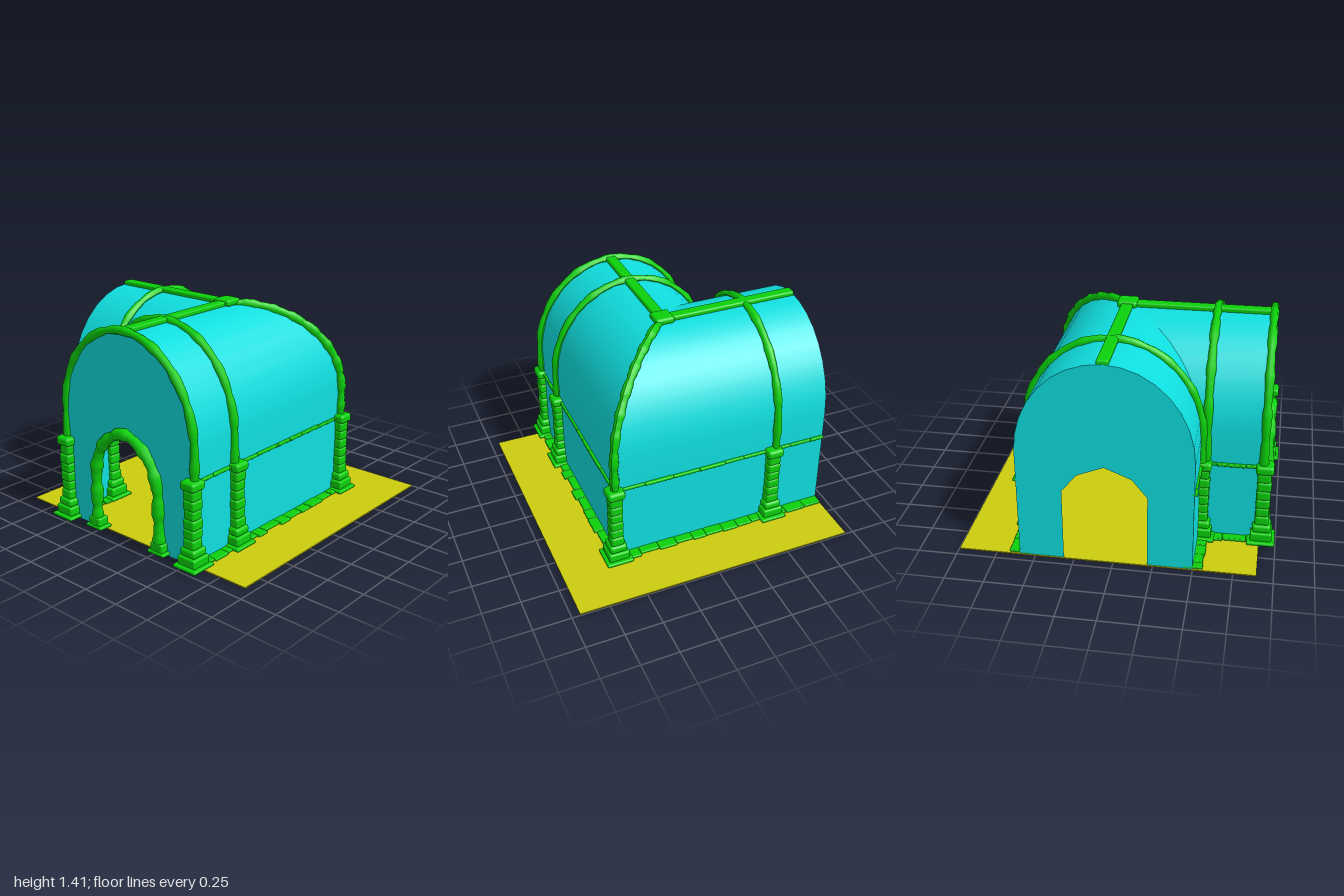
import * as THREE from 'three';
import { RoundedBoxGeometry } from 'three/addons/geometries/RoundedBoxGeometry.js';

const HALF = 0.55, SPRING = 0.75, RISE = 0.62, RAIL = 0.55;
const WEST = -0.9, NORTH = -0.94, CX = 0.05; // arm ends and axis of the north arm

export function createModel() {
  const root = new THREE.Group();
  const mat = (color) => new THREE.MeshStandardMaterial({ color, side: THREE.DoubleSide });
  const stone = mat(0x0bd00b), plaster = mat(0x10dede), ground = mat(0xcccc0f);

  let seed = 7;
  const rand = (a, b) => {
    seed = (seed * 16807) % 2147483647;
    return a + (b - a) * seed / 2147483647;
  };
  const add = (name, geometry, material, parent = root) => {
    const m = new THREE.Mesh(geometry, material);
    m.name = name;
    parent.add(m);
    return m;
  };
  const group = (name) => {
    const g = new THREE.Group();
    g.name = name;
    root.add(g);
    return g;
  };
  const block = (name, w, h, d, x, y, z, parent, r = 0.012) => {
    const m = add(name, new RoundedBoxGeometry(w, h, d, 2, Math.min(r, h * 0.4, w * 0.4, d * 0.4)), stone, parent);
    m.position.set(x, y, z);
    return m;
  };

  // Vault section as [offset, height], from one side to the other
  const arc = [];
  for (let i = 0; i <= 16; i++) {
    const a = Math.PI * (1 - i / 16);
    arc.push([HALF * Math.cos(a), SPRING + RISE * Math.sin(a)]);
  }
  const section = [[-HALF, 0], [-HALF, RAIL], ...arc, [HALF, RAIL], [HALF, 0]];

  // Barrel-vaulted arm, mitred at 45 degrees where the two arms meet
  function arm(name, place, end) {
    const pos = [], index = [];
    section.forEach(([u, y], i) => {
      pos.push(...place(end, y, u), ...place(u, y, u));
      const k = 2 * i;
      if (i) index.push(k - 2, k - 1, k, k - 1, k + 1, k);
    });
    const g = new THREE.BufferGeometry();
    g.setAttribute('position', new THREE.Float32BufferAttribute(pos, 3));
    const reversed = name === 'northVault';
    if (!reversed) for (let i = 0; i < index.length; i += 3) [index[i + 1], index[i + 2]] = [index[i + 2], index[i + 1]];
    g.setIndex(index);
    g.computeVertexNormals();
    // make sure normals point away from the arm's axis
    const p = place(0, 0.7, 0), n = g.attributes.normal, q = g.attributes.position;
    const alongX = name === 'westVault';
    const out = (alongX ? 0 : q.getX(0) - p[0]) * n.getX(0) + (alongX ? q.getZ(0) - p[2] : 0) * n.getZ(0);
    if (out < 0) {
      for (let i = 0; i < index.length; i += 3) [index[i + 1], index[i + 2]] = [index[i + 2], index[i + 1]];
      g.setIndex(index);
      g.computeVertexNormals();
    }
    add(name, g, plaster);
  }
  arm('westVault', (t, y, u) => [t === WEST ? t : CX + t, y, u], WEST);
  arm('northVault', (t, y, u) => [CX + u, y, t], NORTH);

  // End walls with a pointed doorway
  const door = [[0.265, 0], [0.265, 0.5], [0.17, 0.62], [0, 0.69], [-0.17, 0.62], [-0.265, 0.5], [-0.265, 0]];
  const endShape = new THREE.Shape([...section, ...door].map(([x, y]) => new THREE.Vector2(x, y)));
  const westWall = add('westEndWall', new THREE.ShapeGeometry(endShape), plaster);
  westWall.rotation.y = -Math.PI / 2;
  westWall.position.x = WEST;
  const northWall = add('northEndWall', new THREE.ShapeGeometry(endShape), plaster);
  northWall.rotation.y = Math.PI;
  northWall.position.set(CX, 0, NORTH);

  // Floor
  const floor = add('floor', new THREE.BoxGeometry(1.89, 0.008, 1.89), ground);
  floor.position.set(CX, 0.004, 0);

  // Uneven stone rib swept along points
  function rib(name, pts, radius, parent, wobble = 0.13) {
    const curve = new THREE.CatmullRomCurve3(pts.map((p) => new THREE.Vector3(...p)), false, 'centripetal');
    const n = 60, g = new THREE.TubeGeometry(curve, n, radius, 8), p = g.attributes.position;
    const phase = rand(0, 6), v = new THREE.Vector3();
    for (let i = 0; i <= n; i++) {
      const c = curve.getPointAt(i / n);
      const s = 1 + wobble * (Math.sin(i * 0.9 + phase) + 0.6 * Math.sin(i * 2.1 + phase * 2));
      for (let j = 0; j <= 8; j++) {
        const k = i * 9 + j;
        v.fromBufferAttribute(p, k).sub(c).multiplyScalar(s).add(c);
        p.setXYZ(k, v.x, v.y, v.z);
      }
    }
    g.computeVertexNormals();
    add(name, g, stone, parent);
  }
  const ribs = group('vaultRibs');
  const archLine = [[-HALF, RAIL], ...arc, [HALF, RAIL]].map(([u, y]) => [u * 1.015, y + 0.005]);
  for (const x of [WEST + 0.005, -0.535]) rib('westRib', archLine.map(([u, y]) => [x, y, u]), 0.027, ribs);
  rib('northRib', archLine.map(([u, y]) => [CX + u, y, -0.58]), 0.027, ribs);
  rib('hipRib', archLine.slice(9).map(([u, y]) => [CX + u, y, u]), 0.03, ribs);

  // Ridge beams and the boss where they meet
  const ridge = group('ridge');
  block('westRidge', CX - WEST, 0.035, 0.075, (WEST + CX) / 2, 1.378, 0, ridge);
  block('northRidge', 0.075, 0.035, -NORTH, CX, 1.378, NORTH / 2, ridge);
  block('ridgeBoss', 0.13, 0.045, 0.13, CX, 1.385, 0, ridge, 0.02);

  // Columns: plate, stepped plinth, stacked shaft stones and capital
  function column(x, z) {
    const g = group('column');
    g.position.set(x, 0, z);
    block('plate', 0.18, 0.022, 0.18, 0, 0.02, 0, g);
    block('plinth', 0.14, 0.06, 0.14, 0, 0.06, 0, g);
    block('plinthTop', 0.12, 0.055, 0.12, 0, 0.115, 0, g, 0.02);
    for (let i = 0; i < 6; i++) {
      const w = rand(0.082, 0.094);
      block('shaftStone', w, 0.07, w, rand(-0.003, 0.003), 0.17 + i * 0.063, 0, g, 0.018);
    }
    block('capital', 0.115, 0.06, 0.115, 0, 0.545, 0, g, 0.02);
  }
  [[-0.905, -0.55], [-0.905, 0.55], [-0.515, 0.56], [-0.515, -0.56], [0.61, 0.56], [0.61, -0.56]]
    .forEach(([x, z]) => column(x, z));

  // Rails and ground stones along the side walls
  const rails = group('wallRails'), footing = group('footingStones');
  const E = CX + HALF, I = CX - HALF;
  const runs = [
    [WEST, HALF, E, HALF], [E, HALF, E, NORTH],
    [WEST, -HALF, I, -HALF], [I, -HALF, I, NORTH],
  ];
  for (const [x0, z0, x1, z1] of runs) {
    const len = Math.hypot(x1 - x0, z1 - z0), alongX = z0 === z1;
    const lay = (name, step, wide, high, y, parent) => {
      for (let d = 0; d < len - 0.02;) {
        const l = Math.min(rand(step * 0.7, step * 1.3), len - d), t = (d + l / 2) / len;
        const w = wide * rand(0.8, 1.15);
        block(name, alongX ? l : w, high, alongX ? w : l,
          x0 + (x1 - x0) * t, y + rand(-0.002, 0.002), z0 + (z1 - z0) * t, parent, 0.006);
        d += l;
      }
    };
    lay('railStone', 0.16, 0.035, 0.02, RAIL, rails);
    lay('footingStone', 0.12, 0.13, 0.018, 0.017, footing);
  }

  // Stone surround of the west doorway
  const surround = group('doorSurround');
  const jamb = [[-0.28, 0.02], [-0.275, 0.25], [-0.26, 0.48], [-0.17, 0.64], [0, 0.72],
    [0.17, 0.64], [0.26, 0.48], [0.275, 0.25], [0.28, 0.02]];
  rib('doorArch', jamb.map(([u, y]) => [WEST - 0.015, y, u]), 0.037, surround, 0.15);
  for (const s of [-1, 1]) {
    block('doorPlate', 0.1, 0.022, 0.14, WEST - 0.01, 0.02, s * 0.28, surround);
    block('doorPlinth', 0.085, 0.06, 0.1, WEST - 0.01, 0.055, s * 0.28, surround);
  }

  return root;
}
